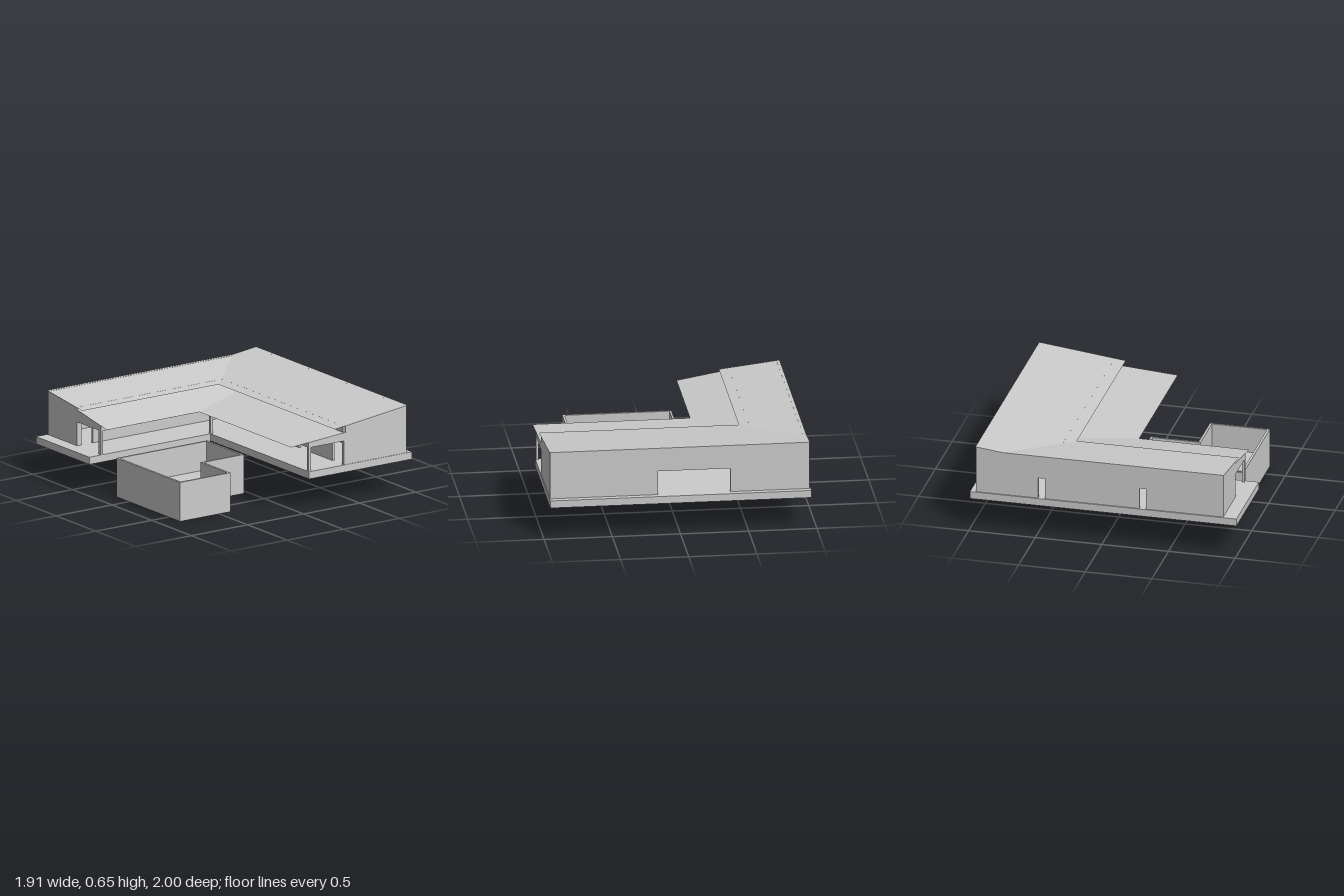
import * as THREE from 'three';

const FLOOR = 0.295, DOOR = 0.455, BEAM = 0.475;
const grey = new THREE.MeshStandardMaterial({ color: 0xcccccc, flatShading: true, side: THREE.DoubleSide });

// roof planes, as height over x or z
const upperLeft = (x) => 0.578 + 0.118 * (-0.51 - x);
const upperBack = (x, z) => 0.578 + 0.118 * (-0.31 - z);
const lowerLeft = (x) => 0.505 + 0.175 * (-0.2 - x);
const lowerBack = (x, z) => 0.505 + 0.0714 * (0.08 - z);

const toShape = (pts) => new THREE.Shape(pts.map(([a, b]) => new THREE.Vector2(a, b)));

export function createModel() {
  const model = new THREE.Group();

  const add = (name, geometry, parent = model) => {
    const mesh = new THREE.Mesh(geometry, grey);
    mesh.name = name;
    parent.add(mesh);
    return mesh;
  };

  // box from its lower and upper corners
  const box = (name, [x0, y0, z0], [x1, y1, z1], parent) =>
    add(name, new THREE.BoxGeometry(x1 - x0, y1 - y0, z1 - z0), parent)
      .position.set((x0 + x1) / 2, (y0 + y1) / 2, (z0 + z1) / 2);

  // horizontal prism from a plan outline of [x, z] points
  const prism = (name, plan, y0, y1, parent) => {
    const g = new THREE.ExtrudeGeometry(toShape(plan.map(([x, z]) => [x, -z])), { depth: y1 - y0, bevelEnabled: false });
    add(name, g.rotateX(-Math.PI / 2).translate(0, y0, 0), parent);
  };

  // sloping roof sheet over a plan outline
  const sheet = (name, plan, height) => {
    const g = new THREE.ShapeGeometry(toShape(plan.map(([x, z]) => [x, -z]))).rotateX(-Math.PI / 2);
    const p = g.attributes.position;
    for (let i = 0; i < p.count; i++) p.setY(i, height(p.getX(i), p.getZ(i)));
    g.computeVertexNormals();
    add(name, g);
  };

  // upright wall: top runs from low to high end, openings [from, to, height] start at the floor;
  // along 'x' it fills at..at+t in z, along 'z' it fills at..at+t in x
  const wall = (name, along, at, top, openings = [], t = 0.018) => {
    const pts = [[top[0][0], FLOOR]];
    for (const [a, b, h] of openings) pts.push([a, FLOOR], [a, h], [b, h], [b, FLOOR]);
    pts.push([top[top.length - 1][0], FLOOR], ...[...top].reverse());
    const g = new THREE.ExtrudeGeometry(toShape(pts), { depth: t, bevelEnabled: false });
    if (along === 'x') g.translate(0, 0, at);
    else g.rotateY(-Math.PI / 2).translate(at + t, 0, 0);
    add(name, g);
  };

  // L-shaped floor slab
  prism('floorSlab', [[-0.96, 1], [-0.285, 1], [-0.285, -0.08], [0.955, -0.08], [0.955, -1], [-0.96, -1]], 0.24, FLOOR);

  // outer walls
  wall('backWall', 'x', -0.955, [[-0.95, 0.652], [0.95, 0.652]], [[-0.37, 0.16, BEAM]]);
  wall('sideWall', 'z', -0.95,
    [[-0.955, 0.653], [-0.75, 0.629], [0.9, 0.629]],
    [[-0.49, -0.44, DOOR], [0.27, 0.32, DOOR]]);

  // end walls, each with a veranda opening beside a corner post
  wall('frontEndWall', 'x', 0.88,
    [[-0.95, 0.629], [-0.6, 0.588], [-0.6, 0.574], [-0.285, 0.519]],
    [[-0.583, -0.315, BEAM]]);
  wall('sideEndWall', 'z', 0.932,
    [[-0.955, 0.653], [-0.41, 0.589], [-0.41, 0.539], [-0.08, 0.515]],
    [[-0.395, -0.1, BEAM]]);

  // inner walls behind the veranda, rising into the clerestory
  wall('innerBackWall', 'x', -0.41, [[-0.6, 0.588], [0.94, 0.588]],
    [-0.57, -0.33, -0.09, 0.15, 0.39, 0.81].map((x) => [x, x + 0.12, DOOR]));
  wall('innerSideWall', 'z', -0.6, [[-0.41, 0.587], [0.89, 0.587]], [[0.76, 0.86, DOOR]]);

  // veranda beams and inner corner post
  box('verandaBeamSide', [-0.303, BEAM, -0.1], [-0.285, 0.519, 0.89]);
  box('verandaBeamBack', [-0.303, BEAM, -0.1], [0.94, 0.514, -0.08]);
  box('innerCornerPost', [-0.305, FLOOR, -0.1], [-0.285, BEAM, -0.08]);

  // roof: upper sheets overlap the lower ones
  sheet('upperRoofSide', [[-0.955, 0.905], [-0.51, 0.905], [-0.51, -0.31], [-0.955, -0.755]], upperLeft);
  sheet('upperRoofBack', [[-0.955, -0.755], [-0.51, -0.31], [0.955, -0.31], [0.955, -0.96], [-0.955, -0.96]], upperBack);
  sheet('lowerRoofSide', [[-0.6, 0.905], [-0.2, 0.905], [-0.2, 0.08], [-0.4, -0.41], [-0.6, -0.41]], lowerLeft);
  sheet('lowerRoofBack', [[-0.4, -0.41], [-0.2, 0.08], [0.955, 0.08], [0.955, -0.41]], lowerBack);

  // L-shaped open basin in the courtyard
  const basin = new THREE.Group();
  basin.name = 'basin';
  model.add(basin);
  const rim = [[-0.155, 0.85], [0.645, 0.85], [0.645, 0.4], [0.305, 0.4], [0.305, 0.04], [-0.155, 0.04]];
  const inside = [[-0.14, 0.832], [0.628, 0.832], [0.628, 0.417], [0.29, 0.417], [0.29, 0.057], [-0.14, 0.057]];
  const ring = toShape(rim.map(([x, z]) => [x, -z]));
  ring.holes.push(new THREE.Path(inside.map(([x, z]) => new THREE.Vector2(x, -z))));
  add('basinWalls', new THREE.ExtrudeGeometry(ring, { depth: FLOOR, bevelEnabled: false }).rotateX(-Math.PI / 2), basin);
  box('basinFloor', [-0.14, 0, 0.057], [0.29, 0.08, 0.832], basin);
  box('basinShelf', [0.29, 0, 0.417], [0.628, 0.1, 0.832], basin);

  return model;
}
